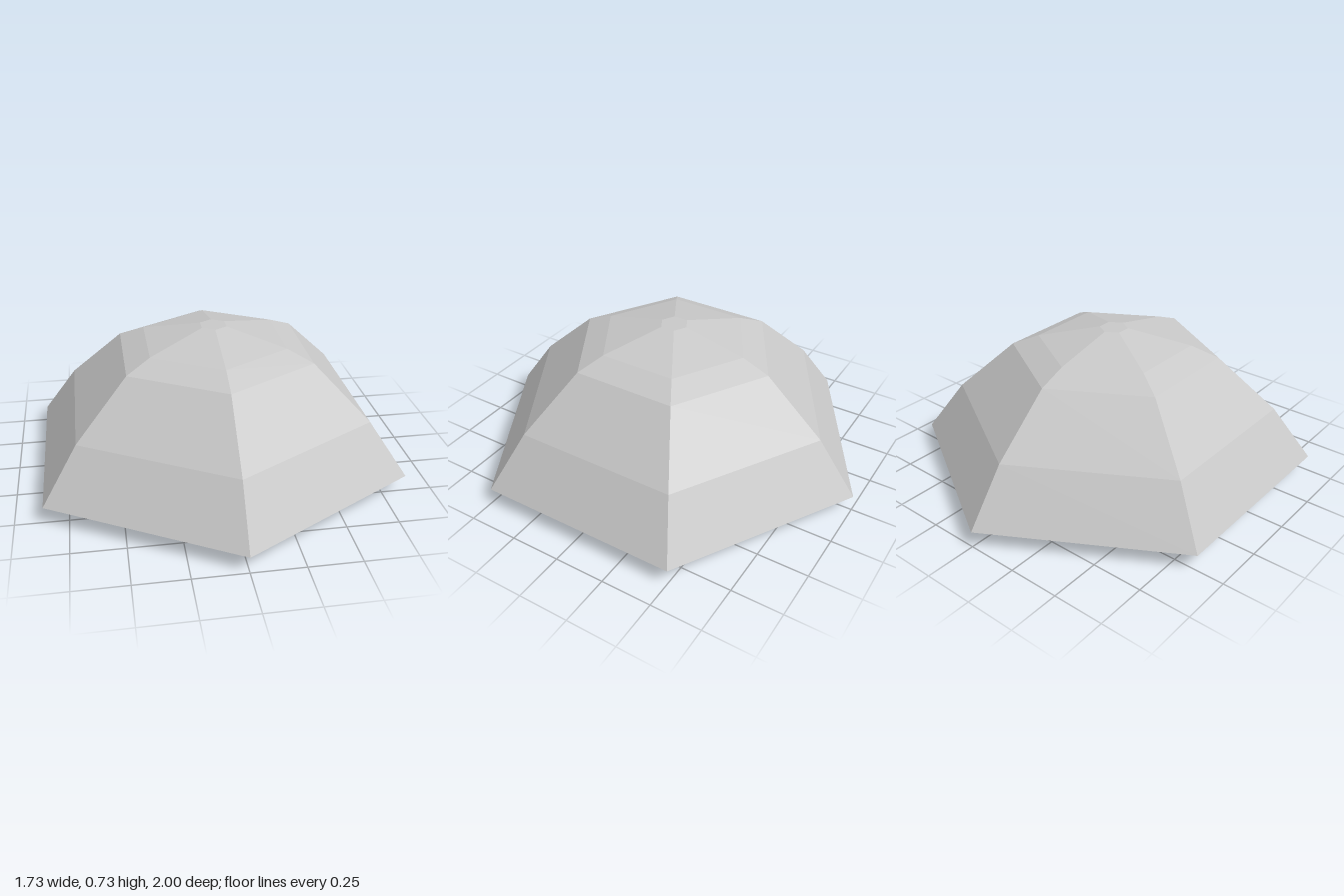
import * as THREE from 'three';

const shellGrey = new THREE.MeshStandardMaterial({ color: 0xc8c8c8 });
shellGrey.name = 'shellGrey';

// Six-sided faceted ring or shell from a [radius, height] profile, corners on +z and -z
function hexShell(name, profile) {
  const points = profile.map(([r, y]) => new THREE.Vector2(r, y));
  const geometry = new THREE.LatheGeometry(points, 6).toNonIndexed();
  geometry.computeVertexNormals(); // unshared vertices give flat facets
  const mesh = new THREE.Mesh(geometry, shellGrey);
  mesh.name = name;
  return mesh;
}

// Flat hexagonal plate facing up or down
function hexPlate(name, radius, y, up) {
  const geometry = new THREE.CircleGeometry(radius, 6, Math.PI / 2);
  geometry.rotateX(up ? -Math.PI / 2 : Math.PI / 2);
  const mesh = new THREE.Mesh(geometry, shellGrey);
  mesh.position.y = y;
  mesh.name = name;
  return mesh;
}

export function createModel() {
  const model = new THREE.Group();
  model.name = 'hexagonalDome';
  model.add(
    // Underside recess: ceiling plate and upright inner wall
    hexPlate('recessCeiling', 0.85, 0.14, false),
    hexShell('recessWall', [[0.85, 0.14], [0.85, 0]]),
    // Bevel from the standing edge out to the widest line
    hexShell('lowerBevel', [[0.85, 0], [1, 0.08]]),
    // Stepped dome facets and the small flat cap
    hexShell('dome', [[1, 0.08], [0.805, 0.34], [0.515, 0.6], [0.38, 0.655], [0.07, 0.725]]),
    hexPlate('topCap', 0.07, 0.725, true),
  );
  return model;
}
